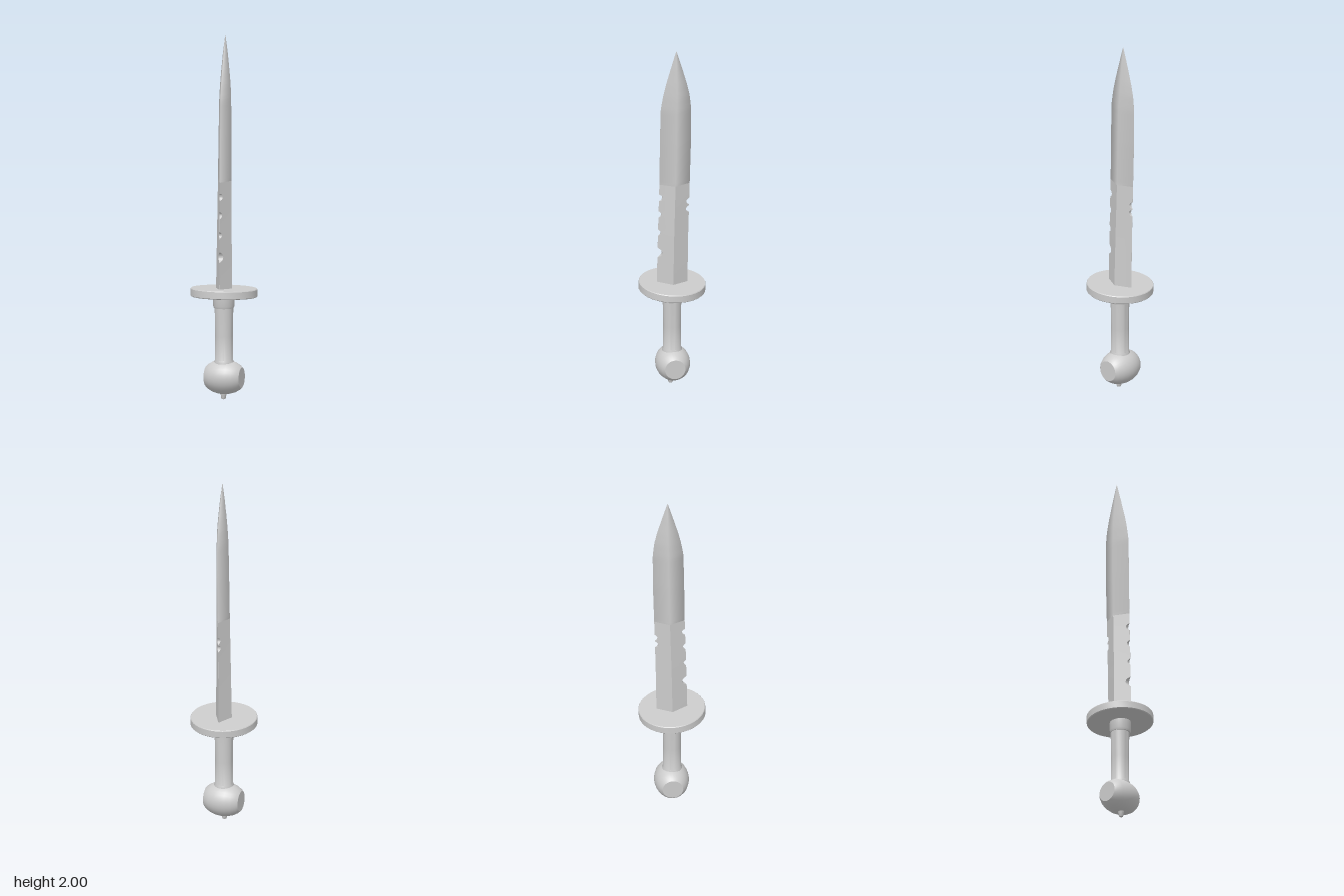
import * as THREE from 'three';
import { toCreasedNormals } from 'three/addons/utils/BufferGeometryUtils.js';

// Blade keys: y, half thickness (x), front edge z, back edge z
const KEYS = [
  [0.57, 0.046, 0.085, -0.085], [0.9, 0.042, 0.078, -0.09], [1.2, 0.039, 0.07, -0.098],
  [1.45, 0.037, 0.067, -0.105], [1.65, 0.034, 0.063, -0.106], [1.73, 0.03, 0.05, -0.098],
  [1.8, 0.024, 0.034, -0.083], [1.9, 0.014, 0.006, -0.055], [2.0, 0.0005, -0.023, -0.025],
];
// Battle nicks: y, radius
const FRONT_NICKS = [[0.79, 0.026], [0.91, 0.016], [1.02, 0.017], [1.12, 0.02]];
const BACK_NICKS = [[1.045, 0.019], [1.09, 0.018]];

function bladeAt(y) {
  let i = 0;
  while (i < KEYS.length - 2 && y > KEYS[i + 1][0]) i++;
  const a = KEYS[i], b = KEYS[i + 1], t = (y - a[0]) / (b[0] - a[0]);
  return a.map((v, k) => THREE.MathUtils.lerp(v, b[k], t));
}

function nickDepth(nicks, y) {
  return nicks.reduce((d, [c, r]) => Math.max(d, Math.sqrt(Math.max(0, r * r - (y - c) ** 2))), 0);
}

// Loft of diamond sections whose edges are cut back where nicked
function bladeGeometry(y0, y1, steps, crease) {
  const pos = [], index = [], n = 6;
  for (let i = 0; i <= steps; i++) {
    const y = y0 + (y1 - y0) * i / steps;
    const [, h, zf, zb] = bladeAt(y);
    const mid = (zf + zb) / 2, half = (zf - zb) / 2;
    const df = Math.max(half * 0.01, nickDepth(FRONT_NICKS, y));
    const db = Math.max(half * 0.01, nickDepth(BACK_NICKS, y));
    const xf = h * df / half, xb = h * db / half;
    pos.push(h, y, mid, xf, y, zf - df, -xf, y, zf - df, -h, y, mid, -xb, y, zb + db, xb, y, zb + db);
    if (i === steps) break;
    for (let j = 0; j < n; j++) {
      const a = i * n + j, b = i * n + (j + 1) % n;
      index.push(a, a + n, b, b, a + n, b + n);
    }
  }
  // End caps
  const top = steps * n;
  for (let j = 1; j < n - 1; j++) index.push(0, j, j + 1, top, top + j + 1, top + j);
  const geo = new THREE.BufferGeometry();
  geo.setAttribute('position', new THREE.Float32BufferAttribute(pos, 3));
  geo.setIndex(index);
  return toCreasedNormals(geo, crease);
}

function lathe(points, segments = 32) {
  const geo = new THREE.LatheGeometry(points.map(([r, y]) => new THREE.Vector2(r, y)), segments);
  return toCreasedNormals(geo, 0.6);
}

export function createModel() {
  const sword = new THREE.Group();
  sword.name = 'sword';
  const steel = new THREE.MeshStandardMaterial({ color: 0xcccccc });
  steel.name = 'pale grey steel';

  const add = (name, geo) => {
    const mesh = new THREE.Mesh(geo, steel);
    mesh.name = name;
    sword.add(mesh);
    return mesh;
  };

  // Blade: crisp ridge below, softened ridge above
  add('lowerBlade', bladeGeometry(0.57, 1.2, 126, 0.5));
  add('upperBlade', bladeGeometry(1.2, 2.0, 40, 1.25));

  // Round guard, slightly tilted
  const guard = add('guard', lathe([[0, -0.022], [0.178, -0.022], [0.182, -0.018], [0.182, 0.019], [0.179, 0.023], [0, 0.023]], 40));
  guard.position.y = 0.587;
  guard.rotation.x = -0.052;

  // Grip with a collar at the top and a small flare at the bottom
  add('grip', lathe([[0, 0.18], [0.053, 0.19], [0.054, 0.207], [0.049, 0.216], [0.048, 0.35], [0.051, 0.507], [0, 0.507]]));
  const collar = add('collar', lathe([[0, 0.503], [0.054, 0.503], [0.058, 0.515], [0.058, 0.58], [0, 0.58]]));
  collar.position.z = 0.003;

  // Barrel pommel lying across the grip, with flat ends
  const pommel = add('pommel', lathe([
    [0, -0.1], [0.056, -0.1], [0.068, -0.088], [0.083, -0.062], [0.092, -0.03], [0.095, 0],
    [0.092, 0.03], [0.083, 0.062], [0.068, 0.088], [0.056, 0.1], [0, 0.1],
  ]));
  pommel.rotation.z = Math.PI / 2;
  pommel.position.set(0, 0.122, -0.003);

  // Rivet under the pommel
  const rivet = add('rivet', lathe([[0, 0], [0.01, 0.002], [0.014, 0.01], [0.014, 0.02], [0.017, 0.026], [0.017, 0.045], [0, 0.045]], 16));
  rivet.position.z = 0.008;

  return sword;
}
